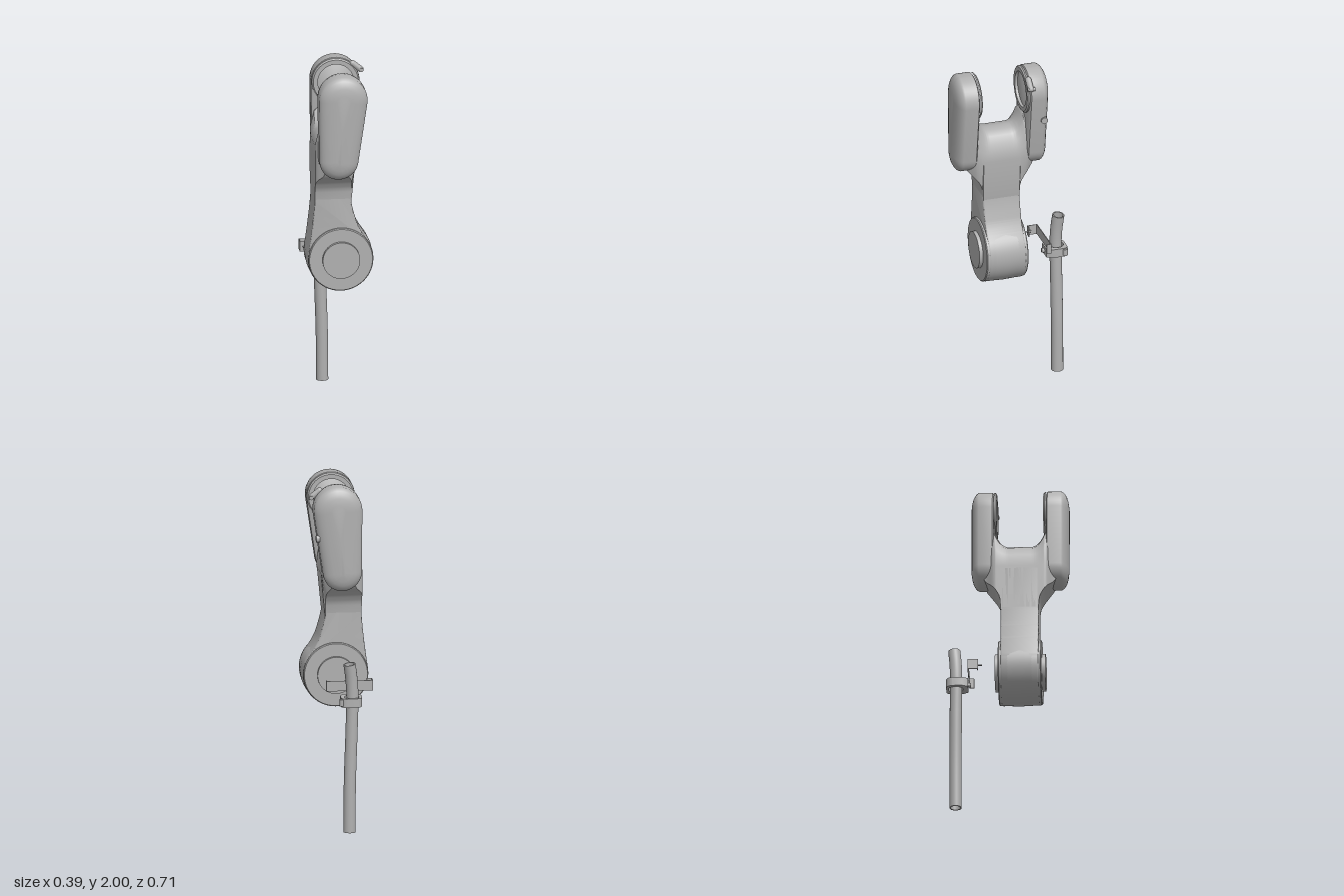
import * as THREE from 'three';
import { toCreasedNormals } from 'three/addons/utils/BufferGeometryUtils.js';

const grey = new THREE.MeshStandardMaterial({ color: 0xb0b0b0 });
grey.name = 'plainGrey';

function add(parent, name, geometry, x = 0, y = 0, z = 0) {
  const mesh = new THREE.Mesh(geometry, grey);
  mesh.name = name;
  mesh.position.set(x, y, z);
  parent.add(mesh);
  return mesh;
}

// Skin counter-clockwise rings that advance towards +z, with both ends closed
function loft(rings, crease = 0.6) {
  const n = rings[0].length, pos = [], index = [];
  for (const ring of rings) for (const p of ring) pos.push(...p);
  for (let r = 0; r < rings.length - 1; r++) {
    for (let i = 0; i < n; i++) {
      const a = r * n + i, b = r * n + (i + 1) % n;
      index.push(a, b, b + n, a, b + n, a + n);
    }
  }
  [rings[0], rings[rings.length - 1]].forEach((ring, end) => {
    const c = pos.length / 3, base = end ? (rings.length - 1) * n : 0;
    pos.push(...[0, 1, 2].map(k => ring.reduce((s, p) => s + p[k], 0) / n));
    for (let i = 0; i < n; i++) {
      const a = base + i, b = base + (i + 1) % n;
      index.push(c, end ? a : b, end ? b : a);
    }
  });
  const g = new THREE.BufferGeometry();
  g.setAttribute('position', new THREE.Float32BufferAttribute(pos, 3));
  g.setIndex(index);
  return toCreasedNormals(g, crease);
}

// Tapered capsule outline: large circle above, small circle below
function podRing(inset, z) {
  const ring = [], tilt = -0.07;
  const arc = (cx, cy, r, start, end) => {
    for (let i = 0; i <= 24; i++) {
      const t = start + (end - start) * i / 24;
      ring.push([cx + Math.cos(t) * (r - inset), cy + Math.sin(t) * (r - inset), z]);
    }
  };
  arc(0, 1.86, 0.14, tilt * 2, Math.PI);
  arc(-0.025, 1.5, 0.112, Math.PI, Math.PI * 2 + tilt * 2);
  return ring;
}

const cylinderZ = (r, length, seg = 48) =>
  toCreasedNormals(new THREE.CylinderGeometry(r, r, length, seg).rotateX(Math.PI / 2), 0.6);

function lerpTable(table, x) {
  let i = 1;
  while (i < table.length - 1 && x > table[i][0]) i++;
  const [x0, y0] = table[i - 1], [x1, y1] = table[i];
  return y0 + (y1 - y0) * THREE.MathUtils.clamp((x - x0) / (x1 - x0), 0, 1);
}

function buildArm() {
  const arm = new THREE.Group();
  arm.name = 'forkArm';
  arm.position.z = 0.07;

  // Two fork pods with domed outer caps and raised inner rings
  const podProfile = [[0.012, 0.15], [0, 0.158], [0, 0.236], [0.006, 0.247], [0.018, 0.258],
    [0.036, 0.268], [0.06, 0.275], [0.1, 0.281]];
  for (const s of [1, -1]) {
    const rings = podProfile.map(([inset, u]) => podRing(inset, s * u));
    if (s < 0) rings.reverse();
    add(arm, s > 0 ? 'frontPod' : 'backPod', loft(rings));
    const ring = new THREE.LatheGeometry([[0.104, 0], [0.104, 0.016], [0.13, 0.016], [0.138, 0.008], [0.138, 0]]
      .map(p => new THREE.Vector2(...p)).reverse(), 48);
    ring.rotateX(-s * Math.PI / 2);
    const mesh = add(arm, 'innerRing', toCreasedNormals(ring, 0.6), 0, 1.86, s * 0.15);
    mesh.material = ringGrey;
  }

  // Saddle and flared shoulders joining the pods
  const under = [[0, 1.2], [0.108, 1.2], [0.112, 1.27], [0.12, 1.3], [0.14, 1.335], [0.165, 1.365],
    [0.19, 1.39], [0.215, 1.43]];
  const rings = [];
  for (let i = 0; i <= 72; i++) {
    const z = -0.215 + 0.43 * i / 72, u = Math.abs(z);
    const f = 0.09 * Math.pow(THREE.MathUtils.clamp((u - 0.065) / 0.08, 0, 1), 2.2);
    const k = 1 - 0.4 * THREE.MathUtils.smoothstep(u, 0.14, 0.215);
    const b = lerpTable(under, u);
    const section = [[-0.15, b], [0.06, b], [0.085, 1.46], [0.076, 1.51 + f * 0.3], [0.058, 1.56 + f * 0.6],
      [0.035, 1.6 + f], [0.005, 1.625 + f], [-0.04, 1.632 + f], [-0.09, 1.625 + f], [-0.125, 1.6 + f],
      [-0.148, 1.55 + f * 0.5], [-0.15, 1.48]];
    rings.push(section.map(([x, y]) => [-0.025 + (x + 0.025) * k, y, z]));
  }
  add(arm, 'forkSaddle', loft(rings));

  // Waisted neck running down around the hub
  const neck = new THREE.Shape();
  neck.moveTo(-0.143, 1.46);
  neck.lineTo(-0.143, 1.22);
  neck.quadraticCurveTo(-0.15, 1.1, -0.18, 0.9);
  neck.absarc(0, 0.87, 0.182, Math.PI - 0.15, Math.PI * 2 + 0.6, false);
  neck.quadraticCurveTo(0.1, 1.04, 0.085, 1.09);
  neck.quadraticCurveTo(0.035, 1.25, 0.054, 1.3);
  neck.lineTo(0.076, 1.46);
  const neckGeo = new THREE.ExtrudeGeometry(neck, { depth: 0.204, bevelThickness: 0.008, bevelSize: 0.007,
    bevelSegments: 3, curveSegments: 32 });
  add(arm, 'neck', toCreasedNormals(neckGeo.translate(0, 0, -0.102), 0.6));

  // Lower hub with a slight crown, and its pivot discs
  const crown = [[0, -0.125], [0.182, -0.125], [0.187, -0.12], [0.192, 0], [0.187, 0.12], [0.182, 0.125], [0, 0.125]];
  const hub = new THREE.LatheGeometry(crown.map(p => new THREE.Vector2(...p)), 64).rotateX(Math.PI / 2);
  add(arm, 'hub', toCreasedNormals(hub, 0.6), 0, 0.87, 0);
  add(arm, 'pivotDisc', cylinderZ(0.108, 0.292), 0, 0.87, 0);

  // Small latch and screws on the back pod
  const latch = add(arm, 'latch', new THREE.CapsuleGeometry(0.018, 0.06, 4, 12), 0.122, 1.945, -0.15);
  latch.rotation.z = 0.9;
  add(arm, 'latchScrew', cylinderZ(0.012, 0.044, 16), 0.148, 1.925, -0.152);
  const screw = add(arm, 'sideScrew', cylinderZ(0.02, 0.02, 20), 0.118, 1.7, -0.24);
  screw.rotation.y = Math.PI / 2;
  return arm;
}

const ringGrey = grey;

function buildCable() {
  const cable = new THREE.Group();
  cable.name = 'cableAssembly';

  // Hollow, gently bent conduit
  const path = new THREE.CatmullRomCurve3([[-0.05, 0, -0.302], [-0.053, 0.3, -0.302], [-0.063, 0.6, -0.3],
    [-0.068, 0.8, -0.298], [-0.062, 0.9, -0.301], [-0.05, 0.99, -0.309]].map(p => new THREE.Vector3(...p)));
  add(cable, 'conduit', new THREE.TubeGeometry(path, 48, 0.035, 28));
  const bore = new THREE.TubeGeometry(path, 48, 0.028, 28);
  const id = bore.index.array;
  for (let i = 0; i < id.length; i += 3) [id[i], id[i + 1]] = [id[i + 1], id[i]];
  const nrm = bore.attributes.normal;
  for (let i = 0; i < nrm.count; i++) nrm.setXYZ(i, -nrm.getX(i), -nrm.getY(i), -nrm.getZ(i));
  add(cable, 'conduitBore', bore);
  for (const t of [0, 1]) {
    const rim = add(cable, 'conduitRim', new THREE.RingGeometry(0.028, 0.035, 28));
    rim.position.copy(path.getPointAt(t));
    rim.lookAt(rim.position.clone().addScaledVector(path.getTangentAt(t), t ? 1 : -1));
  }

  // Clamp block around the conduit
  const block = new THREE.Shape();
  block.moveTo(-0.105, 0.228);
  block.lineTo(-0.02, 0.228);
  block.lineTo(0, 0.262);
  block.lineTo(0, 0.32);
  block.quadraticCurveTo(0, 0.355, -0.035, 0.355);
  block.lineTo(-0.085, 0.355);
  block.quadraticCurveTo(-0.123, 0.348, -0.123, 0.31);
  block.lineTo(-0.123, 0.262);
  const hole = new THREE.Path();
  hole.absarc(-0.064, 0.3, 0.042, 0, Math.PI * 2, true);
  block.holes.push(hole);
  const clampGeo = new THREE.ExtrudeGeometry(block, { depth: 0.052, bevelEnabled: false, curveSegments: 24 });
  add(cable, 'clamp', toCreasedNormals(clampGeo.rotateX(-Math.PI / 2), 0.6), 0, 0.743, 0);
  add(cable, 'clampEar', new THREE.CylinderGeometry(0.016, 0.016, 0.04, 20), -0.005, 0.77, -0.335);
  add(cable, 'clampBolt', cylinderZ(0.013, 0.018, 16), -0.065, 0.768, -0.221);

  // Thin bent bracket with a foot and its screw
  const strips = [[0.27, 0.06, 0.004, -0.06, -0.226], [0.004, 0.06, 0.058, -0.193, -0.198],
    [0.004, 0.06, 0.026, 0.073, -0.213], [0.03, 0.06, 0.004, -0.18, -0.17]];
  for (const [w, h, d, x, z] of strips) add(cable, 'bracket', new THREE.BoxGeometry(w, h, d), x, 0.843, z);
  add(cable, 'bracketScrewHead', cylinderZ(0.009, 0.014, 16), -0.175, 0.843, -0.175);
  add(cable, 'bracketScrew', cylinderZ(0.004, 0.034, 12), -0.175, 0.843, -0.163);
  return cable;
}

export function createModel() {
  const model = new THREE.Group();
  model.name = 'robotArmLink';
  model.add(buildArm(), buildCable());
  return model;
}
